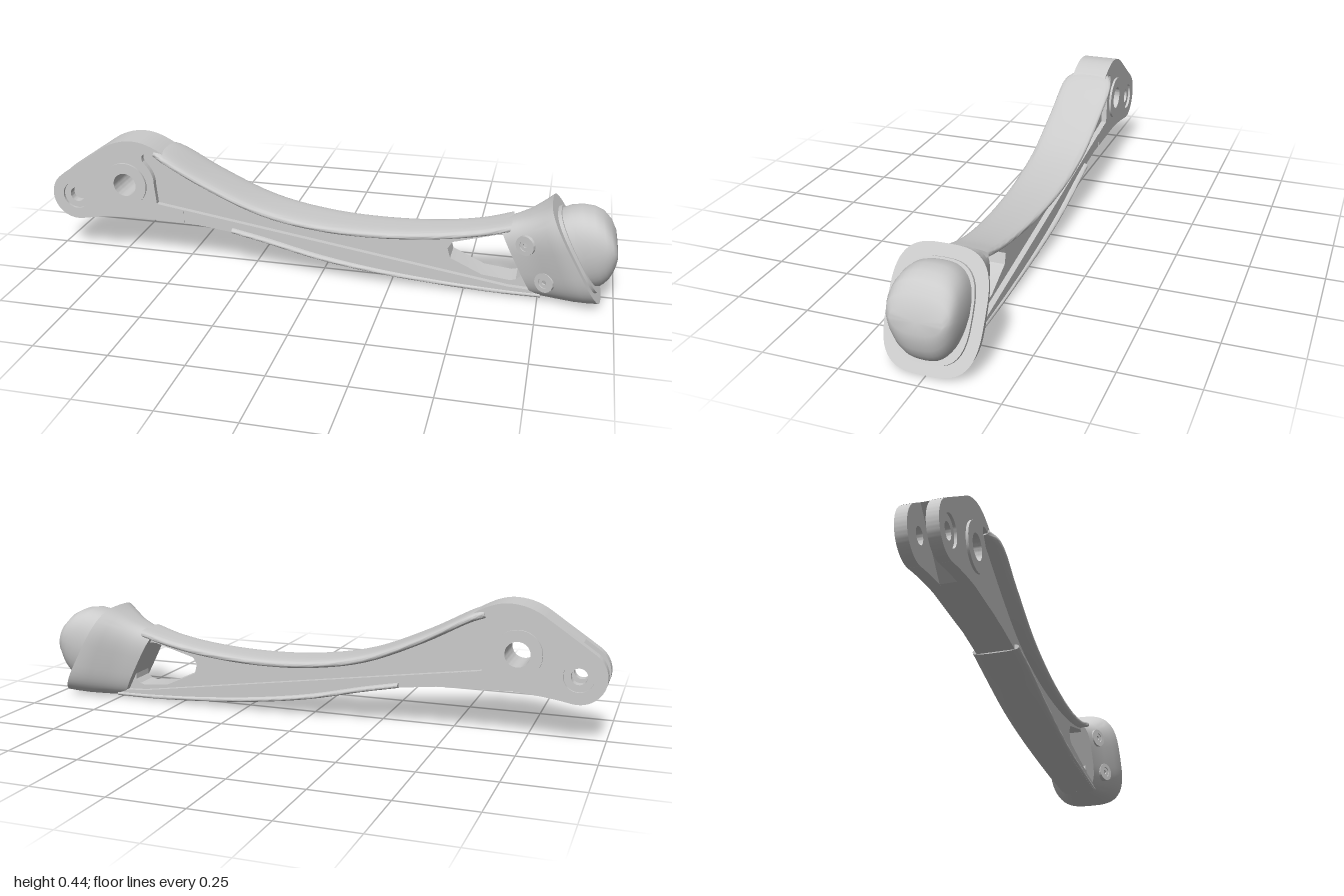
import * as THREE from 'three';
import { toCreasedNormals } from 'three/addons/utils/BufferGeometryUtils.js';

const material = new THREE.MeshStandardMaterial({ color: 0xcccccc });
const rad = THREE.MathUtils.degToRad;

function addMesh(parent, name, geometry, crease = 0.5) {
  const mesh = new THREE.Mesh(toCreasedNormals(geometry, crease), material);
  mesh.name = name;
  parent.add(mesh);
}

// Flat plate cut from a shape, between two z depths
function plate(shape, z0, z1) {
  const geo = new THREE.ExtrudeGeometry(shape, { depth: z1 - z0, bevelEnabled: false, curveSegments: 20 });
  return geo.translate(0, 0, z0);
}

function circlePath(x, y, r, Type = THREE.Path) {
  return new Type().absarc(x, y, r, 0, Math.PI * 2, false);
}

function ring(x, y, outer, inner, z0, z1) {
  const shape = circlePath(x, y, outer, THREE.Shape);
  shape.holes.push(circlePath(x, y, inner));
  return plate(shape, z0, z1);
}

// Skin over squarish rings; section = [topX, topY, bottomX, bottomY, halfWidth]
// taper narrows the lower half
function loft(sections, power, segments = 40, taper = 0) {
  const pos = [], index = [];
  const bend = v => Math.sign(v) * Math.abs(v) ** (2 / power);
  for (const [tx, ty, bx, by, w] of sections) {
    for (let j = 0; j < segments; j++) {
      const a = j / segments * Math.PI * 2;
      const c = bend(Math.cos(a)) / 2;
      const s = bend(Math.sin(a)) * (1 + taper * Math.min(0, c * 2));
      pos.push((tx + bx) / 2 + c * (tx - bx), (ty + by) / 2 + c * (ty - by), s * w);
    }
  }
  const last = sections.length - 1;
  for (let i = 0; i < last; i++) {
    for (let j = 0; j < segments; j++) {
      const k = (j + 1) % segments;
      const a = i * segments + j, b = i * segments + k;
      index.push(a, b, a + segments, b, b + segments, a + segments);
    }
  }
  // End caps
  for (const i of [0, last]) {
    const [tx, ty, bx, by] = sections[i];
    const centre = pos.length / 3;
    pos.push((tx + bx) / 2, (ty + by) / 2, 0);
    for (let j = 0; j < segments; j++) {
      const a = i * segments + j, b = i * segments + (j + 1) % segments;
      index.push(centre, ...(i ? [a, b] : [b, a]));
    }
  }
  const geo = new THREE.BufferGeometry();
  geo.setAttribute('position', new THREE.Float32BufferAttribute(pos, 3));
  geo.setIndex(index);
  geo.computeVertexNormals();
  return geo;
}

// Curve of x, y and half width along an edge of the arm
function edge(points) {
  return new THREE.CatmullRomCurve3(points.map(p => new THREE.Vector3(...p))).getPoints(40);
}

const topEdge = edge([
  [-0.6, 0.417, 0.068], [-0.555, 0.402, 0.092], [-0.4, 0.322, 0.096], [-0.2, 0.24, 0.093], [0, 0.203, 0.088],
  [0.2, 0.195, 0.081], [0.4, 0.208, 0.073], [0.55, 0.233, 0.07], [0.65, 0.262, 0.074]]);
const bottomEdge = edge([
  [-0.32, 0.129, 0.078], [-0.2, 0.105, 0.08], [0, 0.06, 0.079], [0.2, 0.03, 0.075],
  [0.4, 0.012, 0.071], [0.6, 0.002, 0.069], [0.76, 0, 0.066]]);

// Head outline: full for the cheeks, cut back on the left for the core
function headShape(forked) {
  const s = new THREE.Shape();
  s.moveTo(...(forked ? [-0.915, 0.326] : [-0.962, 0.294]));
  s.lineTo(-0.8, 0.405);
  s.quadraticCurveTo(-0.745, 0.443, -0.68, 0.443);
  s.quadraticCurveTo(-0.63, 0.443, -0.565, 0.403);
  s.lineTo(-0.575, 0.385);
  s.quadraticCurveTo(-0.66, 0.42, -0.645, 0.37);
  s.quadraticCurveTo(-0.605, 0.33, -0.607, 0.29);
  s.lineTo(-0.6, 0.215);
  s.lineTo(-0.5, 0.2);
  s.lineTo(-0.5, 0.15);
  s.lineTo(-0.7, 0.155);
  if (forked) s.lineTo(-0.75, 0.152);
  else {
    s.quadraticCurveTo(-0.8, 0.15, -0.894, 0.131);
    s.absarc(-0.91, 0.22, 0.09, rad(280), rad(125), true);
    s.holes.push(circlePath(-0.91, 0.22, 0.05));
  }
  s.holes.push(circlePath(-0.715, 0.28, 0.042));
  return s;
}

export function createModel() {
  const model = new THREE.Group();
  model.name = 'legLink';

  // Hinge head with a forked tip
  const head = new THREE.Group();
  head.name = 'hingeHead';
  model.add(head);
  addMesh(head, 'headCore', plate(headShape(true), -0.027, 0.027));
  for (const side of [1, -1]) {
    const layer = (a, b) => side > 0 ? [a, b] : [-b, -a];
    addMesh(head, 'headCheek', plate(headShape(false), ...layer(0.027, 0.065)));
    addMesh(head, 'pivotBoss', ring(-0.715, 0.28, 0.08, 0.042, ...layer(0.06, 0.073)));
    addMesh(head, 'forkBushing', ring(-0.91, 0.22, 0.05, 0.027, ...layer(0.027, 0.056)));
  }

  // Recessed web with a window near the socket
  const web = new THREE.Shape();
  web.moveTo(-0.66, 0.17);
  web.lineTo(-0.45, 0.16);
  bottomEdge.forEach(p => web.lineTo(p.x, p.y + 0.01));
  [...topEdge].reverse().forEach(p => web.lineTo(p.x, p.y - 0.012));
  web.lineTo(-0.66, 0.4);
  web.lineTo(-0.63, 0.3);
  const windowPoints = [[0.44, 0.145], [0.455, 0.17], [0.6, 0.211], [0.625, 0.213], [0.645, 0.203],
    [0.693, 0.12], [0.69, 0.07], [0.675, 0.055], [0.655, 0.05], [0.56, 0.06], [0.45, 0.11]];
  web.holes.push(new THREE.Path(windowPoints.map(p => new THREE.Vector2(...p))));
  addMesh(model, 'armWeb', plate(web, -0.045, 0.045));

  // Thicker strip along the lower side of the web
  const strip = new THREE.Shape();
  strip.moveTo(-0.6, 0.215);
  strip.lineTo(-0.6, 0.153);
  strip.lineTo(-0.45, 0.148);
  bottomEdge.filter(p => p.x < 0.74).forEach(p => strip.lineTo(p.x, p.y + 0.004));
  strip.lineTo(0.74, 0.03);
  strip.lineTo(0.65, 0.034);
  addMesh(model, 'lowerStrip', plate(strip, -0.064, 0.064));

  // Rounded flanges along the top and bottom of the arm
  addMesh(model, 'topFlange', loft(topEdge.map(p => [p.x, p.y, p.x - 0.005, p.y - 0.031, p.z]), 3), 0.8);
  addMesh(model, 'bottomFlange', loft(bottomEdge.map(p => [p.x, p.y + 0.024, p.x, p.y, p.z]), 3), 0.8);

  // Flared socket with a slanted rim
  addMesh(model, 'footSocket', loft([
    [0.61, 0.249, 0.737, 0, 0.077], [0.66, 0.266, 0.77, 0, 0.089], [0.705, 0.286, 0.815, 0, 0.108],
    [0.745, 0.312, 0.875, 0.002, 0.135], [0.765, 0.327, 0.92, 0.005, 0.147], [0.775, 0.336, 0.958, 0.008, 0.151]],
  3.2, 56), 0.8);

  // Screw seats on the front of the socket, tilted with its flare
  for (const [x, y, z] of [[0.7, 0.205, 0.095], [0.77, 0.083, 0.105]]) {
    const seat = new THREE.Group();
    seat.name = 'screw';
    seat.position.set(x, y, z);
    seat.rotation.y = -0.47;
    addMesh(seat, 'screwSeat', ring(0, 0, 0.034, 0.019, -0.02, 0.005));
    addMesh(seat, 'screwHead', ring(0, 0, 0.019, 0.008, -0.02, 0.001));
    model.add(seat);
  }

  // Foot pad: thin base plate and a tip rounded in height but broad in width
  addMesh(model, 'footBase', loft([
    [0.79, 0.3, 0.935, 0.03, 0.116], [0.805, 0.307, 0.95, 0.04, 0.116]], 3), 0.6);
  addMesh(model, 'footTip', loft([
    [0.805, 0.3, 0.94, 0.053, 0.108], [0.835, 0.314, 0.952, 0.055, 0.109], [0.87, 0.32, 0.964, 0.065, 0.109],
    [0.91, 0.316, 0.979, 0.085, 0.107], [0.94, 0.302, 0.99, 0.11, 0.103], [0.968, 0.272, 0.997, 0.14, 0.095],
    [0.986, 0.235, 1, 0.165, 0.08]], 2.7, 40, 0.15), 0.9);

  return model;
}
